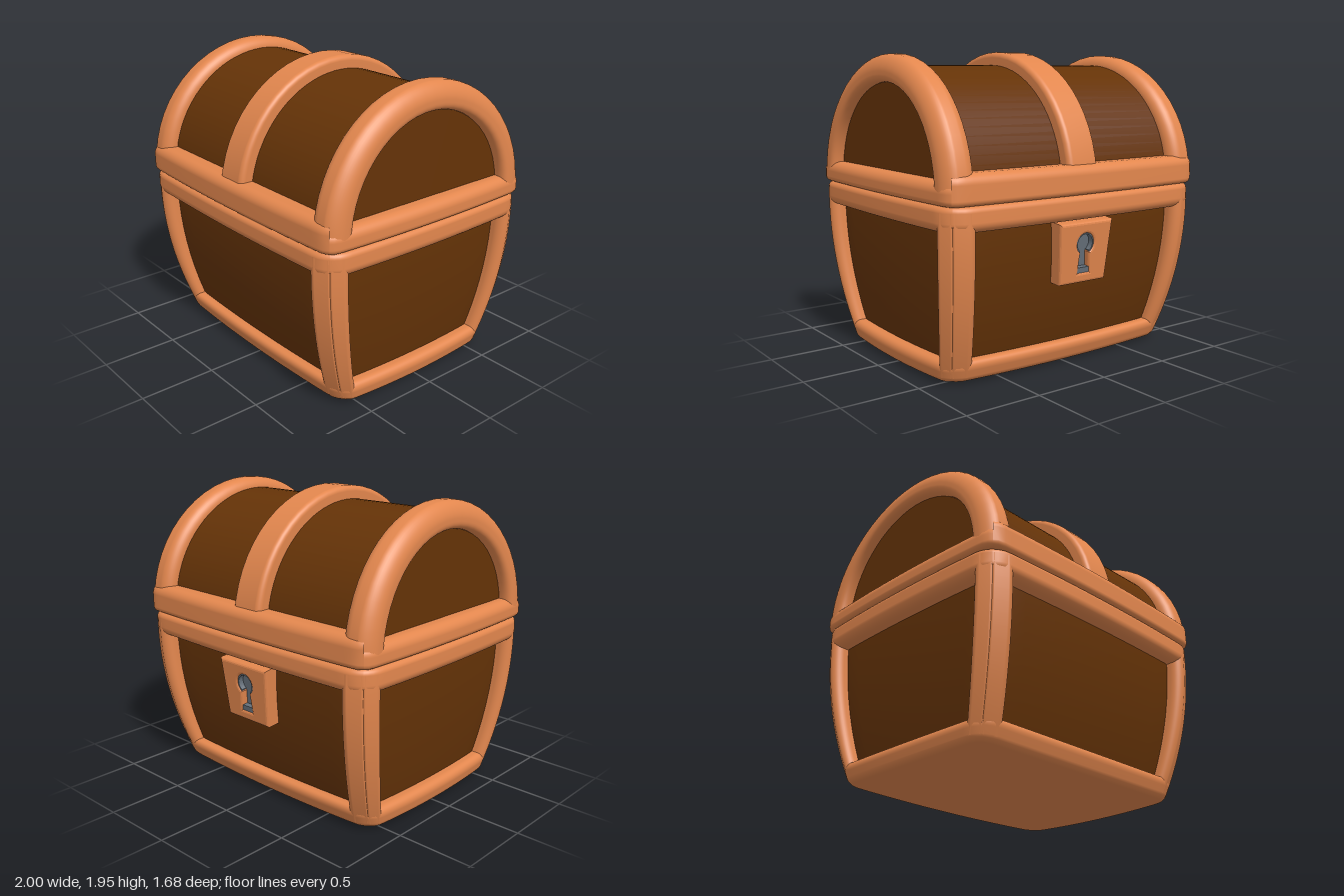
import * as THREE from 'three';
import { mergeVertices } from 'three/addons/utils/BufferGeometryUtils.js';

const X = 0.97, Z = 0.81; // half extents of the chest frame
const material = (name, color) => {
  const m = new THREE.MeshStandardMaterial({ color });
  m.name = name;
  return m;
};

function applyMap(geo, map) {
  const p = geo.attributes.position;
  for (let i = 0; i < p.count; i++) p.setXYZ(i, ...map(p.getX(i), p.getY(i), p.getZ(i)));
  geo.computeVertexNormals();
  return geo;
}

// Signed volume tells whether a mapping turned the surface inside out
function faceOutward(geo) {
  const p = geo.attributes.position, idx = geo.index.array;
  const a = new THREE.Vector3(), b = new THREE.Vector3(), c = new THREE.Vector3();
  let volume = 0;
  for (let i = 0; i < idx.length; i += 3) {
    a.fromBufferAttribute(p, idx[i]);
    b.fromBufferAttribute(p, idx[i + 1]);
    c.fromBufferAttribute(p, idx[i + 2]);
    volume += a.dot(b.cross(c));
  }
  if (volume < 0) {
    for (let i = 0; i < idx.length; i += 3) [idx[i], idx[i + 1]] = [idx[i + 1], idx[i]];
  }
}

// Rounded bar of section w x h running from t = 0 to 1, bent by a mapping.
// The (+u, +v) edge has its own radius; the ends stay open as they are buried in other bars.
function bar(w, h, r, edge, steps, map) {
  const s = new THREE.Shape(), hw = w / 2, hh = h / 2, q = Math.PI / 2;
  s.absarc(hw - edge, hh - edge, edge, 0, q);
  s.absarc(-hw + r, hh - r, r, q, 2 * q);
  s.absarc(-hw + r, -hh + r, r, 2 * q, 3 * q);
  s.absarc(hw - r, -hh + r, r, 3 * q, 4 * q);
  const raw = new THREE.ExtrudeGeometry(s, { depth: 1, steps, curveSegments: 5, bevelEnabled: false });
  const caps = raw.groups[0].count;
  raw.deleteAttribute('uv');
  raw.deleteAttribute('normal');
  const geo = applyMap(mergeVertices(raw, 1e-4), map);
  faceOutward(geo);
  geo.setIndex(Array.from(geo.index.array).slice(caps));
  geo.clearGroups();
  geo.computeVertexNormals();
  return geo;
}

// Plan shape: corners rounded by radius r, walls bowed outward
function plan(x, z, r) {
  const dx = Math.abs(x) - (X - r), dz = Math.abs(z) - (Z - r);
  if (dx > 0 && dz > 0) {
    const k = Math.max(dx, dz) / Math.hypot(dx, dz);
    x = Math.sign(x) * (X - r + dx * k);
    z = Math.sign(z) * (Z - r + dz * k);
  }
  return [
    x * (1 + 0.03 * (1 - Math.min(1, (z / Z) ** 2))),
    z * (1 + 0.035 * (1 - Math.min(1, (x / X) ** 2))),
  ];
}

// Barrel shape of the lower box: walls curve in toward the floor
function bendBase(x, y, z) {
  const k = (1 - y) ** 2;
  const [bx, bz] = plan(x, z, 0.14);
  const sag = 0.012 * ((x / X) ** 2 + (z / Z) ** 2) * Math.max(0, 1 - y);
  return [bx * (X - 0.11 * k) / X, y + sag, bz * (Z - 0.2 * k) / Z];
}
const bendLid = (x, y, z) => {
  const [bx, bz] = plan(x, z, 0.085);
  return [bx, y, bz];
};

function keyhole(k, Type = THREE.Shape) {
  const s = new Type();
  s.absarc(0, 0.055, 0.066 * k, -0.9, Math.PI + 0.9);
  s.lineTo(-0.05 * k, 0.03 - 0.14 * k);
  s.lineTo(0.05 * k, 0.03 - 0.14 * k);
  s.closePath();
  return s;
}

export function createModel() {
  const root = new THREE.Group();
  const trim = material('copper trim', 0xe3874e);
  const wood = material('dark wood', 0x653307);
  const steel = material('grey steel', 0x66707a);
  const add = (name, geo, mat, parent) => {
    const m = new THREE.Mesh(geo, mat);
    m.name = name;
    parent.add(m);
  };

  // Four rails mitred at the corners; edge = 1 or -1 picks the sharper outer side, top or bottom
  const ring = (name, parent, bend, edge, yLong, hLong, yEnd, hEnd) => {
    const depth = 0.18;
    for (const s of [-1, 1]) {
      add(name + 'Long', bar(hLong, depth, 0.062, 0.035, 40, (u, v, t) => {
        const d = v - depth / 2;
        return bend((2 * t - 1) * (X + d), yLong + edge * u, s * (Z + d));
      }), trim, parent);
      add(name + 'End', bar(hEnd, depth, 0.062, 0.035, 40, (u, v, t) => {
        const d = v - depth / 2;
        return bend(s * (X + d), yEnd + edge * u, (2 * t - 1) * (Z + d));
      }), trim, parent);
    }
  };

  // Lower box with floor
  const base = new THREE.Group();
  base.name = 'base';
  root.add(base);
  const box = new THREE.BoxGeometry(1.75, 1.05, 1.43, 14, 10, 14).translate(0, 0.58, 0);
  add('basePanels', applyMap(box, bendBase), wood, base);
  const floor = new THREE.BoxGeometry(1.88, 0.05, 1.56, 20, 1, 20).translate(0, 0.036, 0);
  add('floor', applyMap(floor, bendBase), trim, base);

  // Base posts and rails
  for (const sx of [-1, 1]) for (const sz of [-1, 1]) {
    add('cornerPost', bar(0.194, 0.173, 0.07, 0.02, 14, (u, v, t) =>
      bendBase(sx * (X - 0.097 + u), 0.04 + 1.03 * t, sz * (Z - 0.0865 + v))), trim, base);
  }
  ring('bottomRail', base, bendBase, -1, 0.08, 0.14, 0.077, 0.134);
  ring('topRail', base, bendBase, 1, 1.028, 0.155, 1.028, 0.155);

  // Domed lid
  const lid = new THREE.Group();
  lid.name = 'lid';
  root.add(lid);
  const dome = new THREE.CylinderGeometry(1, 1, 1.79, 40, 1, false, 0, Math.PI);
  dome.rotateZ(Math.PI / 2).scale(1, 0.73, 0.72).translate(0, 1.15, 0);
  add('lidDome', dome, wood, lid);
  ring('lidRail', lid, bendLid, -1, 1.197, 0.184, 1.173, 0.136);

  // Arched bands over the lid; slope lowers the outer shoulder of the end arches
  const arch = (w, h, r, rise, slope, place) => bar(w, h, r, r, 28, (u, v, t) => {
    const a = Math.PI * t, d = v - h / 2 - slope * Math.max(0, u / w) ** 2;
    return [place(u, Math.sin(a)), 1.15 + (rise + d) * Math.sin(a), (0.805 + d) * Math.cos(a)];
  });
  for (const s of [-1, 1]) {
    add('endArch', arch(0.2, 0.17, 0.075, 0.8, 0.12, (u, up) => s * (0.877 + u - 0.025 * up * up)), trim, lid);
  }
  add('middleBand', arch(0.23, 0.13, 0.035, 0.815, 0, (u) => u), trim, lid);

  // Lock on the back wall
  const lock = new THREE.Group();
  lock.name = 'lock';
  lock.position.set(0, 0.755, -0.755);
  lock.rotation.set(-0.1, Math.PI, 0);
  root.add(lock);
  const plate = new THREE.Shape([[-0.165, -0.175], [0.165, -0.175], [0.19, 0.175], [-0.19, 0.175]]
    .map(([x, y]) => new THREE.Vector2(x, y)));
  plate.holes.push(keyhole(1.25, THREE.Path));
  add('lockPlate', new THREE.ExtrudeGeometry(plate, {
    depth: 0.09, bevelSize: 0.018, bevelThickness: 0.018, bevelSegments: 3, curveSegments: 16,
  }).translate(0, 0, -0.048), trim, lock);
  const lining = keyhole(1.15);
  lining.holes.push(keyhole(0.9, THREE.Path));
  add('keyholeLining', new THREE.ExtrudeGeometry(lining, {
    depth: 0.04, bevelEnabled: false, curveSegments: 16,
  }).translate(0, 0, 0.012), steel, lock);
  add('keyholeBack', new THREE.ShapeGeometry(keyhole(1.05), 16).translate(0, 0, 0.016), steel, lock);

  return root;
}
